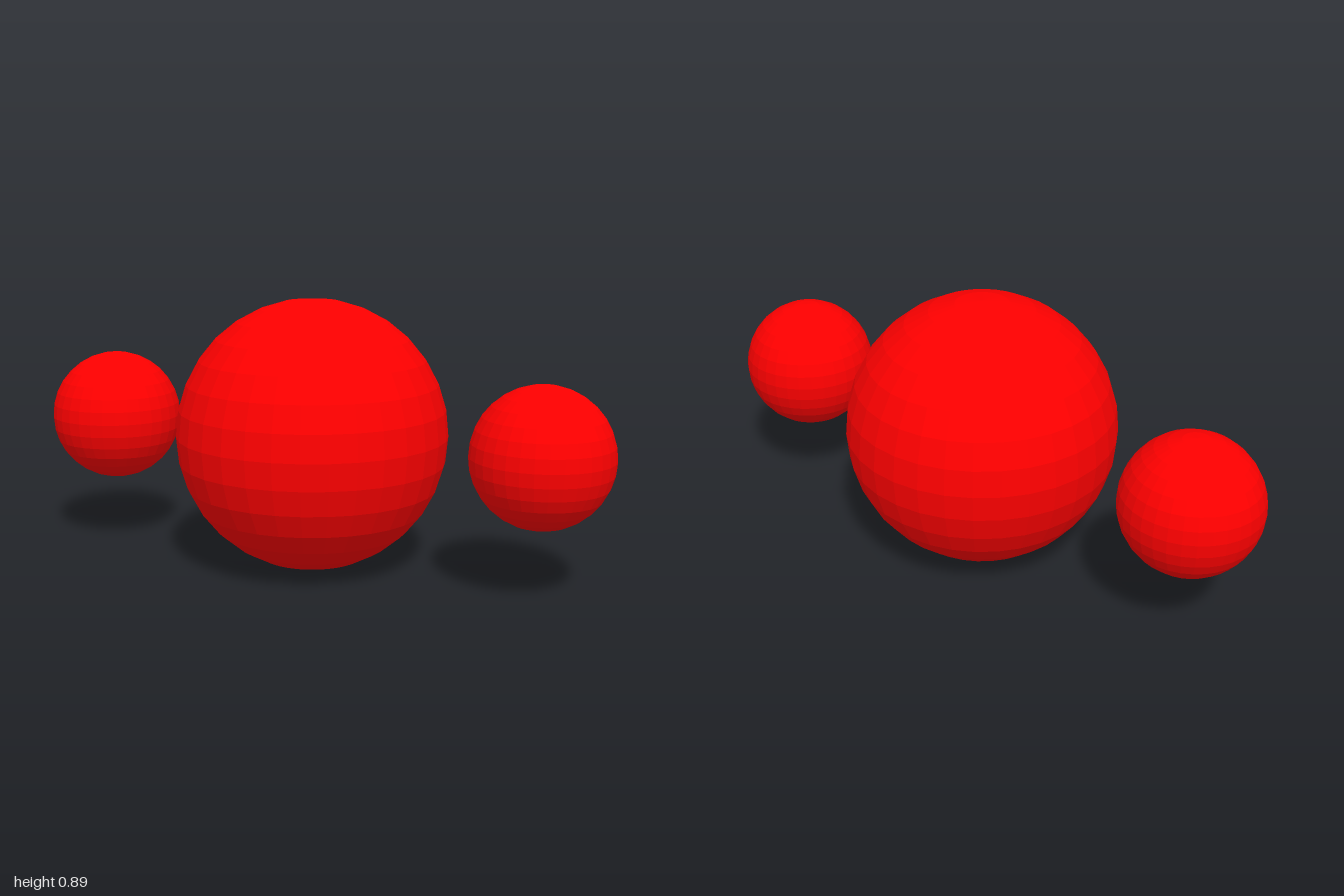
import * as THREE from 'three';

export function createModel() {
  const group = new THREE.Group();
  const material = new THREE.MeshStandardMaterial({ color: 0xff0000, flatShading: true });
  const radius = 4 / 9; // large ball; the side balls are half as big

  function addBall(name, r, x) {
    const ball = new THREE.Mesh(new THREE.SphereGeometry(r, 32, 16), material);
    ball.name = name;
    ball.position.set(x, radius, 0);
    group.add(ball);
  }

  // Central ball resting on the ground
  addBall('centerBall', radius, 0);

  // Smaller balls floating level with its centre
  addBall('leftBall', radius / 2, 1 - radius / 2);
  addBall('rightBall', radius / 2, -1 + radius / 2);

  return group;
}
